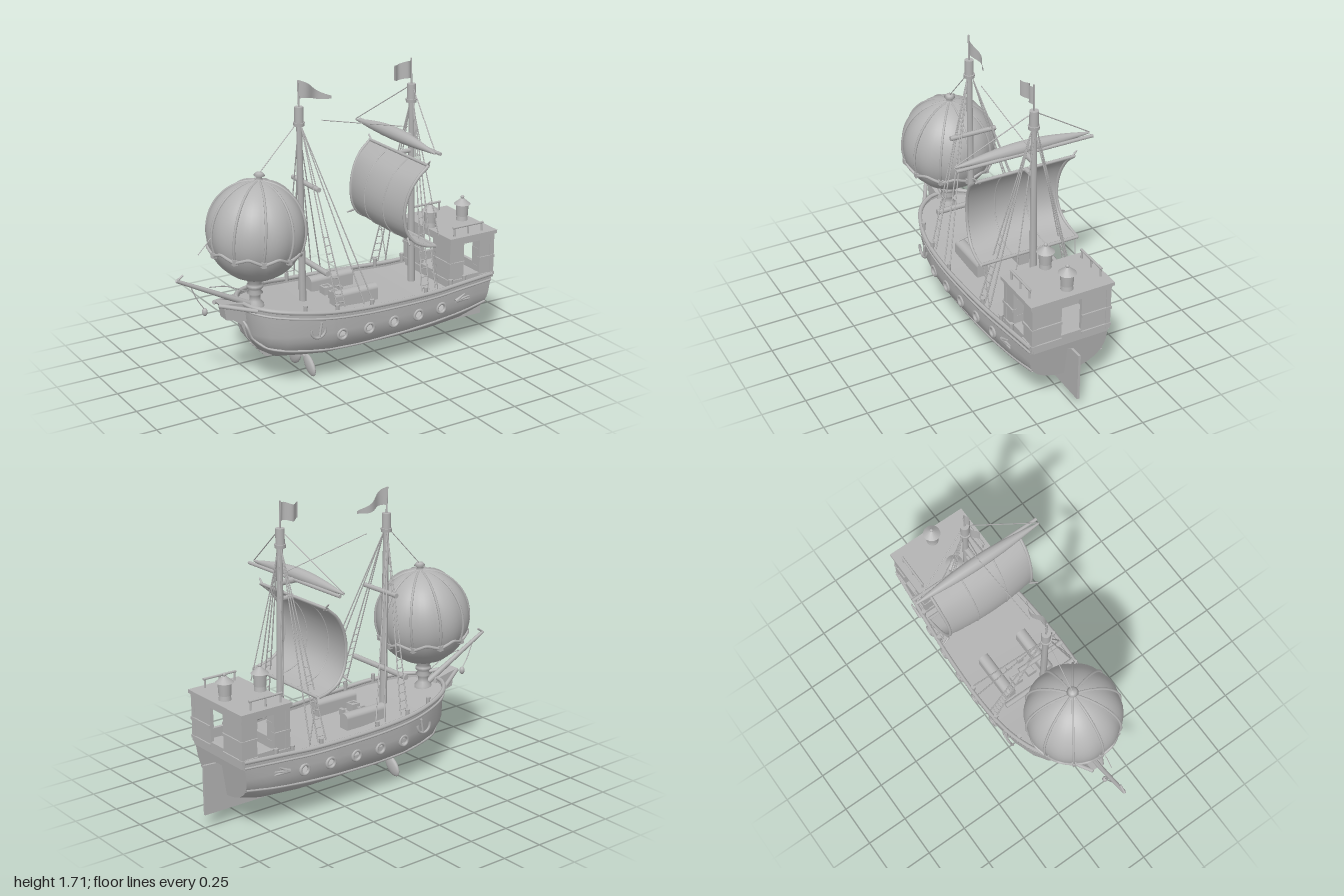
import * as THREE from 'three';
import { toCreasedNormals } from 'three/addons/utils/BufferGeometryUtils.js';

const V = (x, y, z) => new THREE.Vector3(x, y, z);
const grey = new THREE.MeshStandardMaterial({ color: 0xb4b4b4, side: THREE.DoubleSide });
grey.name = 'plain grey';

// piecewise linear lookup in [x, value] pairs
function lookup(table, x) {
  for (let i = 1; i < table.length; i++) {
    const [a, p] = table[i - 1], [b, q] = table[i];
    if (x <= b) return p + (q - p) * Math.max(0, (x - a) / (b - a));
  }
  return table[table.length - 1][1];
}
const SHEER = [[-0.61, 0.495], [-0.45, 0.475], [-0.2, 0.445], [0.1, 0.425], [0.5, 0.415], [0.9, 0.43]];
const KEEL = [[-0.61, 0.37], [-0.58, 0.28], [-0.52, 0.2], [-0.44, 0.15], [-0.2, 0.125], [0.5, 0.11], [0.75, 0.125], [0.9, 0.16]];
const BEAM = [[-0.61, 0.03], [-0.6, 0.08], [-0.57, 0.13], [-0.52, 0.18], [-0.44, 0.225], [-0.32, 0.265], [-0.18, 0.288], [0, 0.295], [0.3, 0.285], [0.6, 0.26], [0.9, 0.235]];
const PORTS = [-0.14, 0.03, 0.195, 0.365, 0.53];
const PORT_Y = 0.305;

// point on the hull skin at station x and height y
function hullPoint(x, y, side) {
  const t = lookup(SHEER, x), b = lookup(KEEL, x);
  const u = THREE.MathUtils.clamp((y - b) / (t - b), 0, 1);
  const z = lookup(BEAM, x) * Math.pow(1 - Math.pow(1 - u, 4), 0.6);
  const rake = Math.max(0, (x - 0.7) / 0.2) * (y - 0.43) * 0.15;
  return V(x + rake, y, side * z);
}

function geometryFromQuads(quads) {
  const pos = [];
  for (const [a, b, c, d] of quads) for (const p of [a, b, c, a, c, d]) pos.push(p.x, p.y, p.z);
  const g = new THREE.BufferGeometry();
  g.setAttribute('position', new THREE.Float32BufferAttribute(pos, 3));
  g.computeVertexNormals();
  return toCreasedNormals(g, 0.7);
}

export function createModel() {
  const ship = new THREE.Group();
  ship.name = 'airship';
  const add = (name, geo, x = 0, y = 0, z = 0, parent = ship) => {
    const m = new THREE.Mesh(geo, grey);
    m.name = name;
    m.position.set(x, y, z);
    parent.add(m);
    return m;
  };
  const box = (name, w, h, d, x, y, z) => add(name, new THREE.BoxGeometry(w, h, d), x, y, z);
  const cyl = (name, r1, r2, h, x, y, z, n = 16) => add(name, new THREE.CylinderGeometry(r1, r2, h, n), x, y, z);
  const rod = (name, a, b, r, r2 = r) => {
    const d = b.clone().sub(a), m = add(name, new THREE.CylinderGeometry(r2, r, d.length(), 8));
    m.position.copy(a).addScaledVector(d, 0.5);
    m.quaternion.setFromUnitVectors(V(0, 1, 0), d.normalize());
    return m;
  };
  const tube = (name, pts, r, closed = false, parent = ship) =>
    add(name, new THREE.TubeGeometry(new THREE.CatmullRomCurve3(pts, closed), pts.length * 4, r, 6, closed), 0, 0, 0, parent);
  const plate = (name, pts, depth, z = 0) => add(name, new THREE.ExtrudeGeometry(
    new THREE.Shape(pts.map(p => new THREE.Vector2(...p))), { depth, bevelEnabled: false }), 0, 0, z - depth / 2);

  // hull skin, leaving openings at the portholes
  const xs = BEAM.map(p => p[0]).concat(KEEL.map(p => p[0]), [0.7, 0.8], ...PORTS.map(p => [p - 0.02, p + 0.02]));
  const stations = [...new Set(xs)].sort((a, b) => a - b);
  const rows = x => {
    const b = lookup(KEEL, x), low = Math.max(0.285, b);
    return [lookup(SHEER, x), Math.max(0.325, b), low, ...[0.7, 0.45, 0.25, 0.1, 0.03, 0].map(k => b + (low - b) * k)];
  };
  const skin = [], deck = [], transom = [];
  for (const s of [1, -1]) {
    for (let i = 0; i + 1 < stations.length; i++) {
      const x0 = stations[i], x1 = stations[i + 1], r0 = rows(x0), r1 = rows(x1);
      for (let j = 0; j + 1 < r0.length; j++) {
        if (j === 1 && PORTS.some(p => Math.abs(p - (x0 + x1) / 2) < 0.005)) continue;
        const q = [hullPoint(x0, r0[j], s), hullPoint(x0, r0[j + 1], s), hullPoint(x1, r1[j + 1], s), hullPoint(x1, r1[j], s)];
        skin.push(s > 0 ? q : q.reverse());
      }
    }
  }
  const bow = rows(-0.61), stern = rows(0.9);
  for (let j = 0; j + 1 < stern.length; j++) {
    for (const [x, r, list] of [[0.9, stern, transom], [-0.61, bow, skin]]) {
      const q = [hullPoint(x, r[j], 1), hullPoint(x, r[j + 1], 1), hullPoint(x, r[j + 1], -1), hullPoint(x, r[j], -1)];
      list.push(x > 0 ? q : q.reverse());
    }
  }
  for (let i = 0; i + 1 < stations.length; i++) {
    const p = (x, s) => V(x, lookup(SHEER, x) - 0.025, s * lookup(BEAM, x) * 0.985);
    const a = stations[i], b = stations[i + 1];
    deck.push([p(a, 1), p(b, 1), p(b, -1), p(a, -1)]);
  }
  add('hull', geometryFromQuads(skin));
  add('transom', geometryFromQuads(transom));
  add('deck', geometryFromQuads(deck));

  // rails and wales following the hull
  const railXs = stations.filter(x => x < -0.3 || Math.abs(x * 10 % 1) < 0.01);
  const along = (f, s) => railXs.map(x => hullPoint(x, f(x), s));
  for (const s of [1, -1]) {
    tube('gunwale', along(x => lookup(SHEER, x), s), 0.013);
    tube('upperWale', along(x => lookup(SHEER, x) - 0.035, s), 0.007);
    tube('lowerWale', along(x => Math.max(0.2 + 0.07 * x * x + (x < 0 ? 0.1 * x * x : 0), lookup(KEEL, x) + 0.02), s), 0.008);
    for (const x of PORTS) {
      const p = hullPoint(x, PORT_Y, s);
      add('portholeRing', new THREE.TorusGeometry(0.028, 0.009, 8, 20), x, PORT_Y, p.z);
    }
    // anchor, stern ornament and bollards
    const a = hullPoint(-0.29, 0.36, s).z + s * 0.012;
    const hook = add('anchorArms', new THREE.TorusGeometry(0.045, 0.008, 6, 16, Math.PI * 1.1), -0.29, 0.36, a);
    hook.rotation.z = Math.PI * 0.95;
    rod('anchorShank', V(-0.285, 0.315, a), V(-0.27, 0.4, a), 0.007);
    const o = hullPoint(0.68, 0.34, s).z + s * 0.01;
    for (const k of [-0.2, 0.3, 0.9]) rod('sternOrnament', V(0.63, 0.325, o), V(0.63 + 0.1 * Math.cos(k), 0.33 + 0.035 * Math.sin(k), o), 0.011, 0.004);
    for (const x of [-0.35, -0.17, 0.05, 0.42, 0.6, 0.7])
      cyl('bollard', 0.013, 0.01, 0.05, x, lookup(SHEER, x) + 0.015, s * (lookup(BEAM, x) - 0.01), 8);
  }

  // keel fin and rudder
  plate('keel', [[-0.56, 0.24], [-0.47, 0.145], [-0.2, 0.115], [0.47, 0.095], [0.47, 0.14], [-0.4, 0.17], [-0.53, 0.26]], 0.02);
  plate('rudder', [[0.47, 0.08], [1, 0.08], [1, 0.365], [0.92, 0.36], [0.86, 0.32], [0.84, 0.17], [0.47, 0.13]], 0.014);

  // twin blade propeller under the bow
  cyl('propellerMount', 0.02, 0.015, 0.05, -0.23, 0.115, 0, 10);
  for (const s of [1, -1]) {
    const leaf = new THREE.SphereGeometry(1, 16, 10);
    leaf.scale(0.018, 0.07, 0.045);
    add('propellerBlade', leaf, -0.23, 0.062, s * 0.08).rotation.x = -s * 0.85;
    rod('propellerArm', V(-0.23, 0.12, 0), V(-0.23, 0.075, s * 0.06), 0.012);
  }

  // beak and bowsprit
  plate('beak', [[-0.76, 0.525], [-0.6, 0.495], [-0.57, 0.38], [-0.62, 0.4], [-0.72, 0.425], [-0.73, 0.49]], 0.07);
  plate('stem', [[-0.7, 0.43], [-0.6, 0.43], [-0.56, 0.25], [-0.59, 0.29], [-0.62, 0.37]], 0.03);
  for (const s of [1, -1]) rod('beakRail', V(-0.76, 0.515, s * 0.03), V(-0.58, 0.48, s * 0.13), 0.012);
  rod('bowsprit', V(-0.56, 0.475, 0), V(-0.99, 0.695, 0), 0.018, 0.01);
  rod('bowspritTip', V(-0.995, 0.69, 0), V(-0.95, 0.72, 0), 0.006);
  tube('lampCord', [V(-0.91, 0.65, 0), V(-0.87, 0.56, 0), V(-0.83, 0.5, 0)], 0.003);
  add('bowLamp', new THREE.SphereGeometry(0.016, 10, 8), -0.83, 0.485, 0).scale.y = 1.4;
  tube('bowRope', [V(-0.8, 0.62, 0), V(-0.7, 0.605, 0), V(-0.58, 0.55, 0)], 0.003);

  // balloon with ribs and a scalloped band
  const balloon = new THREE.Group();
  balloon.name = 'balloon';
  balloon.position.set(-0.51, 0.89, 0);
  balloon.rotation.z = -0.08;
  ship.add(balloon);
  const N = 10, ball = new THREE.SphereGeometry(0.27, 60, 28), bp = ball.attributes.position;
  for (let i = 0; i < bp.count; i++) {
    const x = bp.getX(i), z = bp.getZ(i), k = 0.975 + 0.03 * Math.abs(Math.sin(Math.atan2(z, x) * N / 2));
    bp.setXYZ(i, x * k, bp.getY(i) * 1.03, z * k);
  }
  ball.computeVertexNormals();
  add('envelope', ball, 0, 0, 0, balloon);
  const onBall = (lat, lon, r = 0.271) => V(r * Math.cos(lat) * Math.cos(lon), r * 1.03 * Math.sin(lat), r * Math.cos(lat) * Math.sin(lon));
  const band = [];
  for (let i = 0; i < N; i++) {
    const lon = i / N * Math.PI * 2;
    tube('balloonRib', [1.5, 1.2, 0.9, 0.6, 0.3, 0, -0.2, -0.4].map(l => onBall(l, lon, 0.269)), 0.007, false, balloon);
    add('balloonCleat', new THREE.BoxGeometry(0.025, 0.03, 0.025), ...onBall(-0.42, lon, 0.272).toArray(), balloon);
    for (let j = 0; j < 4; j++) band.push(onBall(-0.32 - 0.1 * Math.abs(j / 2 - 1), lon + j / 4 * Math.PI * 2 / N, 0.274));
  }
  tube('balloonBand', band, 0.009, true, balloon);
  const knob = [[0, 0.325], [0.02, 0.32], [0.032, 0.305], [0.015, 0.295], [0.022, 0.28], [0.05, 0.27]];
  add('balloonCap', new THREE.LatheGeometry(knob.map(p => new THREE.Vector2(...p)), 16), 0, 0, 0, balloon);
  const neck = [[0.05, 0.43], [0.05, 0.47], [0.03, 0.49], [0.03, 0.52], [0.045, 0.535], [0.03, 0.55], [0.045, 0.565], [0.045, 0.58], [0.035, 0.59], [0.06, 0.63]];
  add('balloonNeck', new THREE.LatheGeometry(neck.map(p => new THREE.Vector2(...p)), 16), -0.525, 0, 0);

  // masts, rigging and flags
  const wave = (name, x0, x1, y0, y1, taper) => {
    const g = new THREE.PlaneGeometry(1, 1, 12, 2), p = g.attributes.position;
    for (let i = 0; i < p.count; i++) {
      const u = p.getX(i) + 0.5, v = p.getY(i);
      p.setXYZ(i, x0 + (x1 - x0) * u, y0 + (y1 - y0) * u + v * 0.1 * (1 - taper * u) + 0.006 * Math.sin(u * 7), 0.014 * Math.sin(u * 8));
    }
    g.computeVertexNormals();
    add(name, g);
  };
  for (const [name, xb, xt, top] of [['fore', -0.225, -0.24, 1.53], ['main', 0.5, 0.48, 1.56]]) {
    rod(name + 'Mast', V(xb, 0.38, 0), V(xt, top, 0), 0.022, 0.016);
    cyl(name + 'MastCap', 0.025, 0.025, 0.09, xt, top - 0.04, 0);
    cyl(name + 'MastCollar', 0.032, 0.03, 0.02, xt, top - 0.09, 0);
    rod(name + 'Flagpole', V(xt, top, 0), V(xt - 0.005, top + 0.15, 0), 0.005);
    const feet = name === 'fore' ? [-0.17, -0.12, 0.0, 0.06] : [0.39, 0.44, 0.49];
    for (const s of [1, -1]) {
      const foot = x => V(x, lookup(SHEER, x) + 0.02, s * (lookup(BEAM, x) - 0.01));
      const head = V(xt + 0.005, top - 0.1, s * 0.015);
      for (const x of feet) rod(name + 'Shroud', foot(x), head, 0.004, 0.003);
      for (let k = 0; k < 9; k++) {
        const t = 0.03 + k * 0.045;
        rod(name + 'Ratline', foot(feet[0]).lerp(head, t), foot(feet[1]).lerp(head, t), 0.003);
      }
    }
  }
  wave('foreFlag', -0.24, -0.045, 1.63, 1.56, 0.85);
  wave('mainFlag', 0.475, 0.355, 1.645, 1.64, 0.15);
  rod('upperSpar', V(-0.2, 1.1, -0.14), V(-0.2, 1.1, 0.14), 0.014);
  rod('lowerSpar', V(-0.2, 0.65, -0.23), V(-0.2, 0.65, 0.23), 0.016);
  rod('foreStay', V(-0.25, 1.45, 0), V(-0.86, 0.815, 0), 0.0025);
  rod('mastStay', V(-0.1, 1.44, 0), V(0.46, 1.32, 0), 0.0025);
  for (const s of [1, -1]) {
    rod('backStay', V(0.49, 1.45, 0), V(0.58, 0.7, s * 0.15), 0.003);
    rod('yardLift', V(0.37, 1.285, s * 0.4), V(0.475, 1.54, 0.03 * s), 0.003);
  }

  // furled topsail on its yard
  const furl = [];
  for (let i = 0; i <= 16; i++) furl.push(new THREE.Vector2(0.005 + 0.032 * Math.sin(i / 16 * Math.PI), -0.4 + i * 0.05));
  const topsail = new THREE.LatheGeometry(furl, 14).rotateX(Math.PI / 2), tp = topsail.attributes.position;
  for (let i = 0; i < tp.count; i++) tp.setY(i, tp.getY(i) + 0.015 * Math.cos(tp.getZ(i) * 3.9));
  add('furledTopsail', topsail, 0.37, 1.28, 0);
  rod('topYard', V(0.4, 1.275, -0.405), V(0.4, 1.275, 0.405), 0.01);
  rod('yardClamp', V(0.37, 1.27, 0), V(0.485, 1.27, 0), 0.018);

  // billowing mainsail with rope edges
  const curve = new THREE.CatmullRomCurve3([V(0.4, 1.18, 0), V(0.31, 1.09, 0), V(0.262, 0.95, 0), V(0.275, 0.82, 0), V(0.345, 0.735, 0), V(0.46, 0.705, 0)]);
  const sailPoint = (u, v) => {
    const p = curve.getPoint(v);
    return V(p.x - 0.025 * (1 - u * u) * Math.sin(Math.PI * v), p.y, u * (0.285 + 0.01 * Math.cos(v * 6.28)));
  };
  const sail = new THREE.PlaneGeometry(2, 1, 16, 20), sp = sail.attributes.position;
  for (let i = 0; i < sp.count; i++) sp.setXYZ(i, ...sailPoint(sp.getX(i), 0.5 - sp.getY(i)).toArray());
  sail.computeVertexNormals();
  add('mainsail', sail);
  const steps = [0, 0.15, 0.3, 0.45, 0.6, 0.75, 0.9, 1];
  for (const u of [-1, -0.35, 0.35, 1]) tube('sailRope', steps.map(v => sailPoint(u, v)), Math.abs(u) === 1 ? 0.009 : 0.004);
  for (const v of [0, 1]) tube('sailYard', steps.map(k => sailPoint(k * 2 - 1, v)), 0.01);
  for (const s of [1, -1]) {
    rod('upperSailHook', V(0.4, 1.17, s * 0.27), V(0.4, 1.21, s * 0.31), 0.007, 0.004);
    rod('lowerSailHook', V(0.28, 0.78, s * 0.28), V(0.265, 0.755, s * 0.325), 0.007, 0.004);
    rod('sailSheet', V(0.46, 0.705, s * 0.28), V(0.5, 0.43, s * 0.265), 0.003);
  }
  rod('sailYardClamp', V(0.4, 1.18, 0), V(0.485, 1.18, 0), 0.014);

  // deck chests and hatches
  for (const s of [1, -1]) {
    box('deckChest', 0.275, 0.065, 0.065, 0.027, 0.435, s * 0.132);
    const lid = add('chestLid', new THREE.CylinderGeometry(0.033, 0.033, 0.275, 12, 1, false, 0, Math.PI), 0.027, 0.467, s * 0.132);
    lid.rotation.z = Math.PI / 2;
    lid.scale.x = 0.8;
    box('hatch', 0.035, 0.04, 0.035, -0.045, 0.425, s * 0.047);
    for (const k of [-1, 1]) {
      box('hatchFrame', 0.055, 0.05, 0.01, -0.045, 0.43, s * 0.047 + k * 0.023);
      box('hatchFrame', 0.01, 0.05, 0.055, -0.045 + k * 0.023, 0.43, s * 0.047);
    }
    box('smallHatch', 0.02, 0.04, 0.035, 0.04, 0.42, s * 0.04);
  }

  // cabin with window openings on every side
  const wall = (w, hx, hw) => {
    const rect = (P, a, b, c, d) => new P([[a, b], [c, b], [c, d], [a, d]].map(p => new THREE.Vector2(...p)));
    const sh = rect(THREE.Shape, -w / 2, 0.39, w / 2, 0.68);
    sh.holes.push(rect(THREE.Path, hx - hw, 0.455, hx + hw, 0.65));
    return new THREE.ExtrudeGeometry(sh, { depth: 0.02, bevelEnabled: false }).translate(0, 0, -0.01);
  };
  for (const s of [1, -1]) {
    add('cabinSide', wall(0.29, 0, 0.055), 0.757, 0, s * 0.222);
    add('cabinEnd', wall(0.45, 0, 0.06), 0.757 + s * 0.14, 0, 0).rotation.y = Math.PI / 2;
    for (const k of [1, -1]) {
      box('cabinPost', 0.028, 0.28, 0.028, 0.757 + k * 0.14, 0.55, s * 0.222);
      for (const y of [0.435, 0.54]) {
        box('cabinSideTrim', 0.1, 0.016, 0.03, 0.757 + k * 0.103, y, s * 0.225);
        box('cabinEndTrim', 0.03, 0.016, 0.18, 0.757 + s * 0.143, y, k * 0.15);
      }
    }
    // roof rail
    rod('roofRail', V(0.635, 0.75, s * 0.212), V(0.845, 0.75, s * 0.212), 0.007);
    for (const x of [0.645, 0.74, 0.835]) rod('railPost', V(x, 0.69, s * 0.212), V(x, 0.75, s * 0.212), 0.006);
  }
  box('cabinRoof', 0.325, 0.02, 0.5, 0.757, 0.69, 0);
  box('cabinEaves', 0.305, 0.02, 0.48, 0.757, 0.67, 0);

  // roof lanterns
  for (const x of [0.625, 0.85]) {
    cyl('lanternBase', 0.03, 0.035, 0.035, x, 0.715, 0);
    cyl('lanternBody', 0.038, 0.034, 0.07, x, 0.762, 0);
    cyl('lanternRoof', 0.008, 0.05, 0.035, x, 0.815, 0);
    add('lanternKnob', new THREE.SphereGeometry(0.011, 10, 8), x, 0.839, 0);
  }
  return ship;
}
